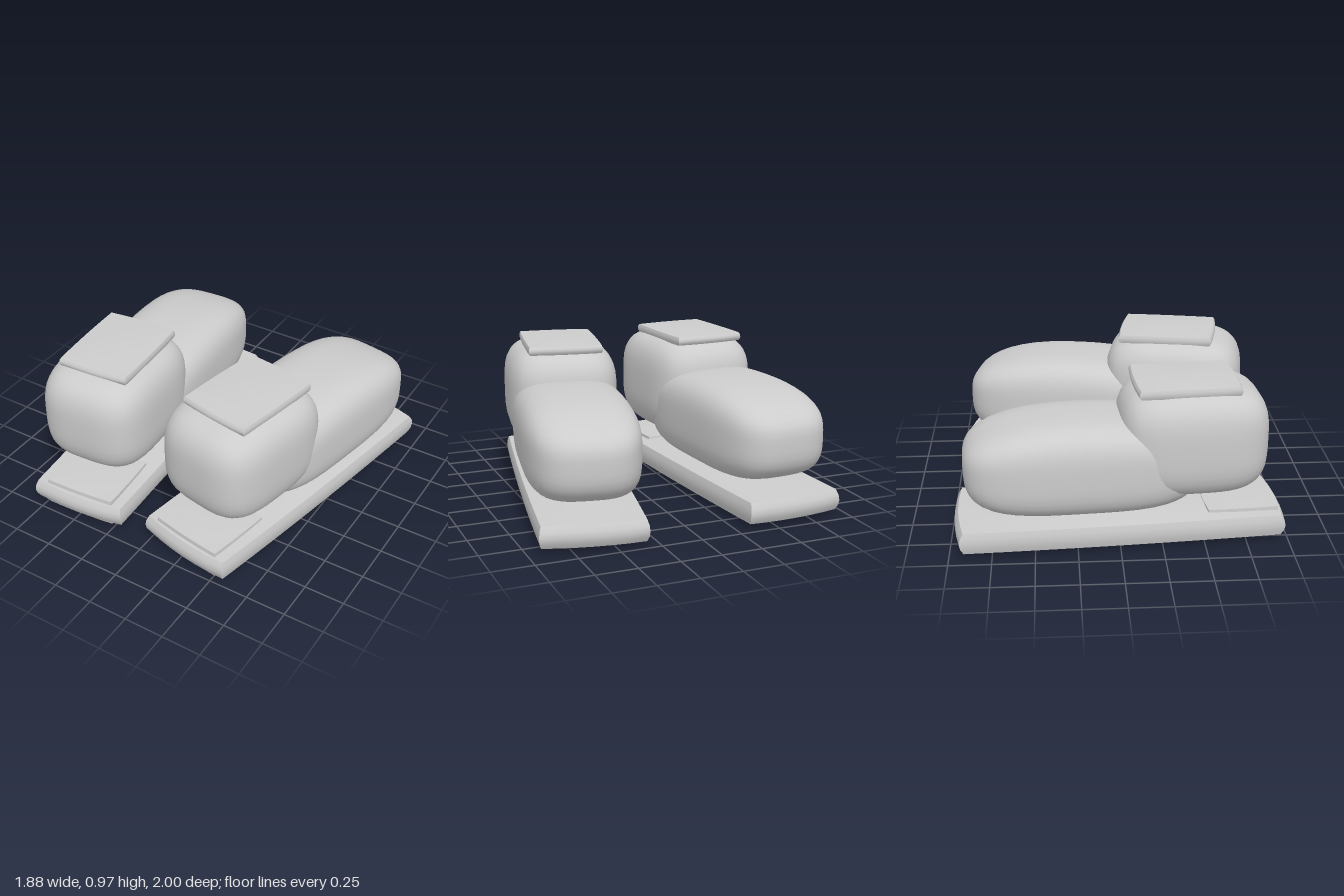
import * as THREE from 'three';
import { mergeVertices } from 'three/addons/utils/BufferGeometryUtils.js';

const grey = new THREE.MeshStandardMaterial({ color: 0xcccccc });
grey.name = 'plain grey';

// Moves every vertex of a 2-unit box by a rule
function shape(geometry, rule) {
  const p = geometry.attributes.position;
  for (let i = 0; i < p.count; i++) {
    p.setXYZ(i, ...rule(p.getX(i), p.getY(i), p.getZ(i)));
  }
  geometry.computeVertexNormals();
  return geometry;
}

// Slab with domed faces and creased edges: half sizes, half edge height, end bulge
function slab(hx, hy, hz, edge, bulge) {
  return shape(new THREE.BoxGeometry(2, 2, 2, 6, 4, 8), (u, v, w) => [
    u * (hx - bulge * 0.5 * (v * v + w * w)),
    v * (edge + (hy - edge) * (1 - u * u) * (1 - w * w)),
    w * (hz - bulge * (u * u + v * v)),
  ]);
}

// Smooth, pillowy block; drop lowers the top towards both ends
function pillow(hx, hy, hz, drop = 0) {
  const box = new THREE.BoxGeometry(2, 2, 2, 12, 12, 12);
  box.deleteAttribute('normal');
  box.deleteAttribute('uv');
  const e = 3.5;
  return shape(mergeVertices(box), (x, y, z) => {
    const n = (Math.abs(x) ** e + Math.abs(y) ** e + Math.abs(z) ** e) ** (1 / e);
    const [u, v, w] = [x / n, y / n, z / n];
    return [u * hx, v * hy * (v > 0 ? 1 - drop * w * w : 1), w * hz];
  });
}

const parts = [
  // name, geometry, y, z
  ['sole', slab(0.325, 0.095, 0.985, 0.065, 0.025), 0.1, 0],
  ['solePad', slab(0.24, 0.097, 0.225, 0.09, 0.008), 0.1, 0.72],
  ['longBlock', pillow(0.35, 0.285, 0.7, 0.25), 0.48, -0.22],
  ['tallBlock', pillow(0.35, 0.33, 0.44), 0.61, 0.435],
  ['topCap', slab(0.238, 0.037, 0.31, 0.026, 0.012), 0.933, 0.39],
];

function makeFoot(name, x, turn) {
  const foot = new THREE.Group();
  foot.name = name;
  for (const [partName, geometry, y, z] of parts) {
    const mesh = new THREE.Mesh(geometry, grey);
    mesh.name = partName;
    mesh.position.set(0, y, z);
    foot.add(mesh);
  }
  foot.position.x = x;
  foot.rotation.y = turn;
  return foot;
}

export function createModel() {
  const model = new THREE.Group();
  model.name = 'pairOfFeet';
  model.add(makeFoot('rightFoot', -0.565, 0.07), makeFoot('leftFoot', 0.453, -0.188));
  return model;
}
